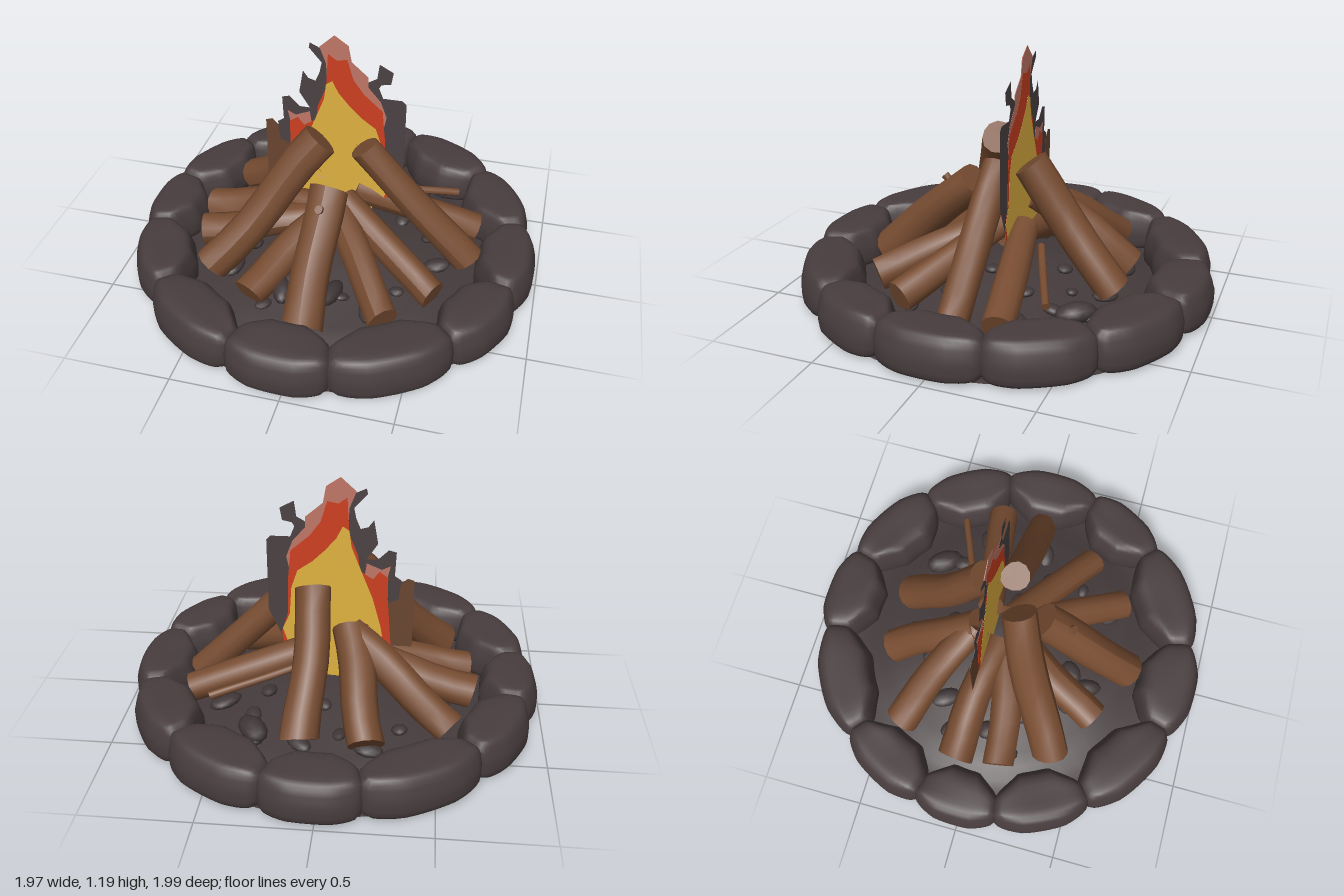
import * as THREE from 'three';
import { mergeVertices } from 'three/addons/utils/BufferGeometryUtils.js';

const mat = (name, color, side = THREE.FrontSide) => {
  const m = new THREE.MeshStandardMaterial({ color, side });
  m.name = name;
  return m;
};

// Small seeded random source
let seed = 7;
const rand = (a = 0, b = 1) => {
  seed = (seed * 16807) % 2147483647;
  return a + (b - a) * (seed / 2147483647);
};

const V = (x, y, z) => new THREE.Vector3(x, y, z);

// Height of the mounded ash bed
const bedHeight = (x, z) => {
  const r = Math.min(Math.hypot(x, z) / 0.92, 1);
  return 0.02 + 0.075 * (1 + Math.cos(Math.PI * r)) + 0.01 * (1 - r) * Math.sin(9 * x) * Math.cos(8 * z);
};

// Squared stone filling an arc of the ring, tapered toward its ends
function stoneGeometry(a0, a1) {
  let g = new THREE.BoxGeometry(2, 2, 2, 14, 8, 8);
  g.deleteAttribute('uv');
  g.deleteAttribute('normal');
  g = mergeVertices(g);
  const pos = g.attributes.position, P = 6;
  const mid = (a0 + a1) / 2, half = (a1 - a0) / 2 + 0.008;
  const k1 = rand(0, 6), k2 = rand(0, 6), innerMid = rand(0.69, 0.715);
  const outerMid = 0.985 + 0.012 * Math.abs(Math.sin(mid));
  for (let i = 0; i < pos.count; i++) {
    const v = V().fromBufferAttribute(pos, i);
    const n = (Math.abs(v.x) ** P + Math.abs(v.y) ** P + Math.abs(v.z) ** P) ** (1 / P);
    v.divideScalar(n);
    const lump = 0.008 * Math.sin(2.3 * v.x + k1) * Math.cos(1.9 * v.z + k2);
    const end = Math.max(0, Math.abs(v.x) - 0.4) / 0.6;
    const inner = innerMid + 0.09 * end + (v.y > 0 ? 0.03 * v.y : 0);
    const outer = outerMid - 0.03 * end - 0.028 * Math.max(0, v.y);
    const r = THREE.MathUtils.lerp(inner, outer, (v.z + 1) / 2) + lump * (1 - v.z) / 2;
    const a = mid + v.x * half;
    pos.setXYZ(i, r * Math.cos(a), 0.111 + v.y * 0.103 + (v.y > 0 ? lump * 0.5 : 0), r * Math.sin(a));
  }
  // the bend mirrors the box, so turn the faces back outward
  const idx = g.index.array;
  for (let i = 0; i < idx.length; i += 3) [idx[i], idx[i + 1]] = [idx[i + 1], idx[i]];
  g.computeVertexNormals();
  return g;
}

// Slightly crooked log between two points
function logMesh(a, b, r, material, name) {
  const dir = b.clone().sub(a), len = dir.length();
  const g = new THREE.CylinderGeometry(r * 0.97, r * 1.04, len, 12, 6);
  const pos = g.attributes.position, k = rand(0, 6), bend = rand(-0.16, 0.16) * r;
  for (let i = 0; i < pos.count; i++) {
    const x = pos.getX(i), y = pos.getY(i), z = pos.getZ(i);
    const t = Math.atan2(z, x), h = y / len;
    const s = 1 + 0.04 * Math.sin(2 * t + k + 4 * h) + 0.03 * Math.sin(3 * t - k);
    pos.setXYZ(i, x * s + bend * Math.sin(6 * h + k), y + 0.12 * x * Math.sin(k), z * s + bend * Math.cos(5 * h));
  }
  g.computeVertexNormals();
  const m = new THREE.Mesh(g, material);
  m.position.copy(a).add(b).multiplyScalar(0.5);
  m.quaternion.setFromUnitVectors(V(0, 1, 0), dir.normalize());
  m.name = name;
  return m;
}

// Thin plate centred on the flame plane
function plate(points, depth, material, name) {
  const shape = new THREE.Shape(points.map(([x, y]) => new THREE.Vector2(x, y)));
  const g = new THREE.ExtrudeGeometry(shape, { depth, bevelEnabled: false });
  g.translate(0, 0, -depth / 2);
  const m = new THREE.Mesh(g, material);
  m.name = name;
  return m;
}

export function createModel() {
  seed = 7;
  const root = new THREE.Group();
  root.name = 'campfire';
  const stone = mat('stone', 0x483d3e);
  const ash = mat('ash', 0x443a3b, THREE.DoubleSide);
  const pebbleGrey = mat('pebble grey', 0x403738);
  const wood = mat('wood', 0x774c31);
  const smoke = mat('smoke', 0x4b4143);
  const ember = mat('ember brown', 0x694531);
  const pink = mat('flame pink', 0xc07666);
  const red = mat('flame red', 0xcc3f20);
  const yellow = mat('flame yellow', 0xdfb140);

  // Stone ring
  const ring = new THREE.Group();
  ring.name = 'stoneRing';
  const joints = [-75, -44, -14.5, 16, 43, 78, 107, 140, 169, 194, 222.5, 258, 285];
  for (let i = 0; i < 12; i++) {
    const rad = THREE.MathUtils.degToRad;
    const m = new THREE.Mesh(stoneGeometry(rad(joints[i]), rad(joints[i + 1])), stone);
    m.name = 'ringStone';
    ring.add(m);
  }
  root.add(ring);

  // Mounded ash bed, open underneath
  const bedGeo = new THREE.RingGeometry(0.001, 0.92, 48, 14).rotateX(-Math.PI / 2);
  const bp = bedGeo.attributes.position;
  for (let i = 0; i < bp.count; i++) {
    const x = bp.getX(i), z = bp.getZ(i);
    // the rim dips just under the stones
    bp.setY(i, bedHeight(x, z) - (Math.hypot(x, z) > 0.7 ? 0.016 : 0));
  }
  bedGeo.computeVertexNormals();
  const bed = new THREE.Mesh(bedGeo, ash);
  bed.name = 'ashBed';
  root.add(bed);

  // Scattered pebbles
  const pebbles = new THREE.Group();
  pebbles.name = 'pebbles';
  const pebbleGeo = new THREE.IcosahedronGeometry(1, 1);
  const addPebble = (x, z, sx, sy, sz, turn) => {
    const m = new THREE.Mesh(pebbleGeo, pebbleGrey);
    m.position.set(x, bedHeight(x, z) + sy * 0.5, z);
    m.scale.set(sx, sy, sz);
    m.rotation.set(rand(-0.2, 0.2), turn, rand(-0.2, 0.2));
    m.name = 'pebble';
    pebbles.add(m);
  };
  for (let i = 0; i < 32; i++) {
    const a = i * 2.4, r = 0.2 + 0.4 * Math.sqrt(i / 32), s = rand(0.025, 0.05);
    addPebble(r * Math.cos(a), r * Math.sin(a), s * rand(1, 1.7), s * 0.6, s, rand(0, 6));
  }
  addPebble(0.34, -0.45, 0.06, 0.05, 0.1, 0.6);
  addPebble(0.08, 0.42, 0.045, 0.045, 0.1, -0.2);
  addPebble(-0.15, 0.45, 0.045, 0.04, 0.08, 0.3);
  root.add(pebbles);

  // Logs: foot, head, radius
  const logs = new THREE.Group();
  logs.name = 'logs';
  [
    [[0, 0.1, 0.64], [0, 0.53, 0.17], 0.092, 'frontLog'],
    [[-0.52, 0.12, 0.35], [-0.055, 0.725, 0.06], 0.088, 'tallRightLog'],
    [[0.66, 0.11, 0.01], [0.13, 0.67, 0], 0.074, 'tallLeftLog'],
    [[0.1, 0.12, -0.55], [0.08, 0.67, -0.135], 0.085, 'backLog'],
    [[-0.19, 0.12, -0.56], [-0.08, 0.47, -0.13], 0.085, 'lowLog'],
    [[-0.56, 0.13, -0.41], [-0.07, 0.46, -0.15], 0.08, 'lowLog'],
    [[-0.67, 0.13, -0.1], [-0.05, 0.27, -0.03], 0.083, 'lowLog'],
    [[-0.65, 0.13, 0.13], [-0.05, 0.25, 0.02], 0.078, 'lowLog'],
    [[-0.3, 0.12, 0.51], [-0.01, 0.31, 0.03], 0.078, 'lowLog'],
    [[0.35, 0.12, 0.53], [0.01, 0.34, 0.04], 0.075, 'lowLog'],
    [[0.54, 0.12, 0.32], [0.04, 0.35, 0.01], 0.072, 'lowLog'],
    [[0.67, 0.14, -0.21], [0.07, 0.35, -0.11], 0.07, 'lowLog'],
    [[0.55, 0.21, -0.38], [0.15, 0.3, -0.22], 0.018, 'stick'],
    [[0, 0.44, 0.24], [0, 0.53, 0.33], 0.02, 'branchStub'],
  ].forEach(([a, b, r, name]) => logs.add(logMesh(V(...a), V(...b), r, wood, name)));
  root.add(logs);

  // Flat flame: nested plates, each thicker than the last so it shows on both faces
  const flame = new THREE.Group();
  flame.name = 'flame';
  flame.position.z = -0.08;
  flame.add(plate([[-0.2, 0.3], [-0.28, 0.4], [-0.31, 0.7], [-0.28, 0.72], [-0.285, 0.84], [-0.25, 0.85],
    [-0.2, 0.8], [-0.15, 0.8], [-0.2, 0.88], [-0.18, 0.995], [-0.155, 0.96], [-0.12, 0.95], [-0.1, 1.0],
    [-0.09, 1.05], [-0.15, 1.12], [-0.145, 1.145], [-0.09, 1.12], [-0.05, 1.06], [0.05, 1.06], [0.12, 0.97],
    [0.17, 1.0], [0.18, 1.075], [0.245, 1.04], [0.235, 0.98], [0.19, 0.97], [0.18, 0.95], [0.2, 0.9],
    [0.29, 0.9], [0.31, 0.88], [0.31, 0.52], [0.24, 0.36], [0.1, 0.3]], 0.001, smoke, 'smokeEdge'));
  flame.add(plate([[-0.37, 0.35], [-0.24, 0.35], [-0.25, 0.58], [-0.3, 0.6], [-0.31, 0.68], [-0.34, 0.71],
    [-0.37, 0.7]], 0.002, ember, 'emberEdge'));
  flame.add(plate([[-0.06, 0.9], [-0.07, 1.05], [-0.1, 1.13], [-0.03, 1.195], [0.035, 1.15], [0.05, 1.07],
    [0.13, 1.0], [0.13, 0.95], [0.19, 0.88], [0.22, 0.8], [0.2, 0.7], [0, 0.7]], 0.003, pink, 'flameRim'));
  flame.add(plate([[-0.24, 0.68], [-0.26, 0.77], [-0.22, 0.75], [-0.15, 0.78], [-0.14, 0.7]],
    0.003, pink, 'sideFlameRim'));
  flame.add(plate([[-0.2, 0.3], [-0.27, 0.35], [-0.25, 0.6], [-0.25, 0.71], [-0.21, 0.74], [-0.18, 0.7],
    [-0.12, 0.74], [-0.11, 0.82], [-0.07, 0.92], [-0.06, 1.1], [-0.02, 1.07], [0.03, 1.08], [0.06, 0.98],
    [0.11, 0.91], [0.2, 0.83], [0.215, 0.68], [0.22, 0.5], [0.25, 0.4], [0.24, 0.34], [0, 0.3]],
    0.004, red, 'flameBody'));
  flame.add(plate([[-0.13, 0.1], [-0.2, 0.3], [-0.24, 0.33], [-0.22, 0.45], [-0.18, 0.6], [-0.11, 0.78],
    [-0.08, 0.86], [-0.07, 0.94], [-0.04, 0.96], [-0.01, 0.9], [0.04, 0.84], [0.1, 0.78], [0.17, 0.73],
    [0.2, 0.64], [0.21, 0.5], [0.245, 0.42], [0.22, 0.34], [0.17, 0.3], [0.13, 0.1]], 0.005, yellow, 'flameCore'));
  root.add(flame);
  return root;
}
